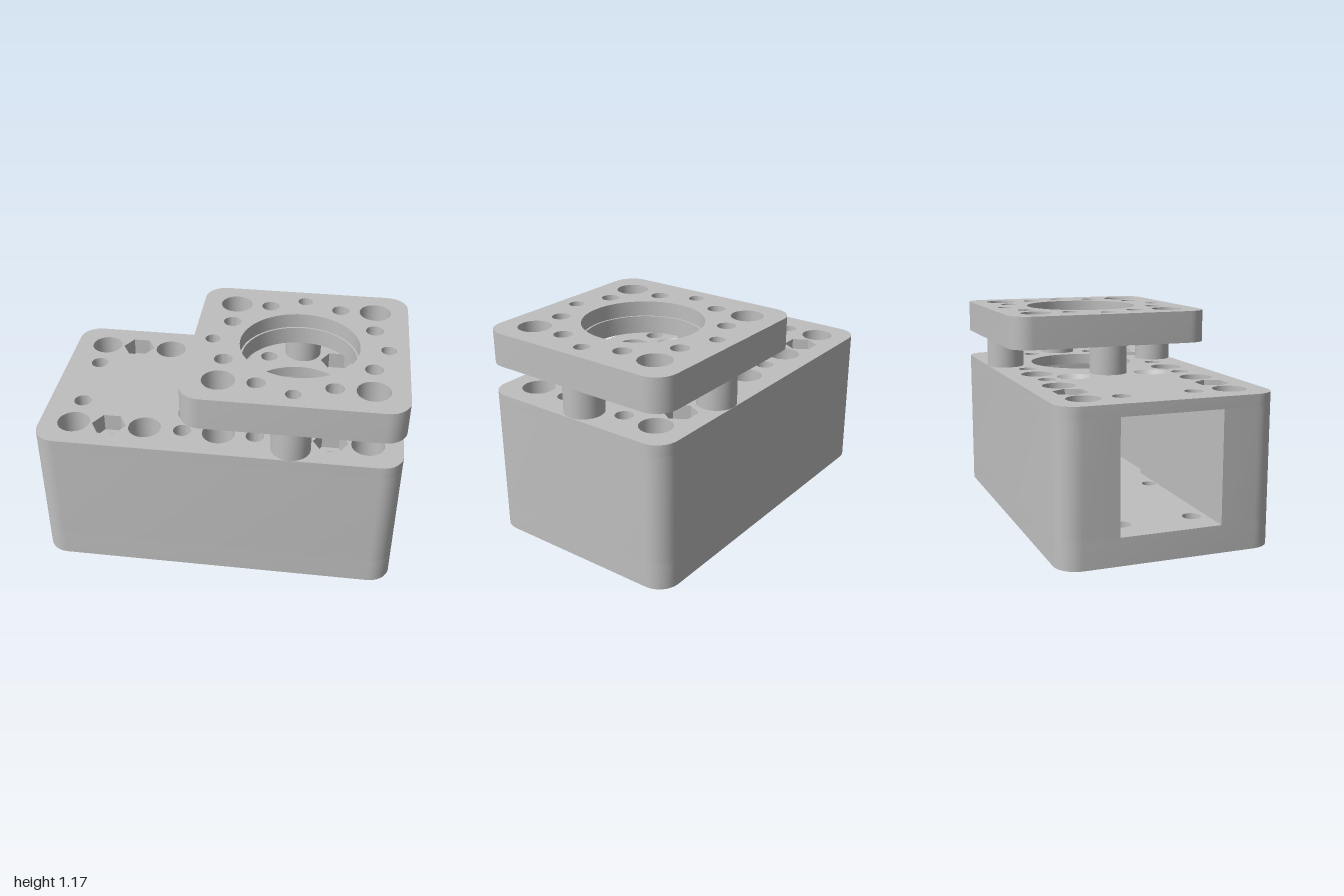
import * as THREE from 'three';
import { mergeGeometries, toCreasedNormals } from 'three/addons/utils/BufferGeometryUtils.js';

// 2D helpers: counter-clockwise loops of [x, z] points
const circle = (x, z, r, n = 32) => Array.from({ length: n }, (_, i) => {
  const a = (i / n) * Math.PI * 2;
  return [x + r * Math.cos(a), z + r * Math.sin(a)];
});
const hex = (x, z, r) => circle(x, z, r, 6);

function roundedRect(x0, x1, h, r, n = 8) {
  const corners = [[x0 + r, -h + r], [x1 - r, -h + r], [x1 - r, h - r], [x0 + r, h - r]];
  return corners.flatMap(([cx, cz], k) => Array.from({ length: n + 1 }, (_, i) => {
    const a = Math.PI * (1 + k / 2 + i / n / 2);
    return [cx + r * Math.cos(a), cz + r * Math.sin(a)];
  }));
}

// Side surface between two loops, facing outward, or inward for holes
function wall(bottom, y0, y1, inward = false, top = bottom) {
  const pos = [];
  const n = bottom.length;
  for (let i = 0; i < n; i++) {
    const j = (i + 1) % n;
    const a = [bottom[i][0], y0, -bottom[i][1]], b = [bottom[j][0], y0, -bottom[j][1]];
    const c = [top[j][0], y1, -top[j][1]], d = [top[i][0], y1, -top[i][1]];
    pos.push(...(inward ? [a, c, b, a, d, c] : [a, b, c, a, c, d]).flat());
  }
  const g = new THREE.BufferGeometry();
  g.setAttribute('position', new THREE.Float32BufferAttribute(pos, 3));
  return toCreasedNormals(g, 0.6);
}

// Flat face with holes, facing up or down
function sheet(outline, holes, y, up = true) {
  const v = (p) => p.map(([x, z]) => new THREE.Vector2(x, z));
  const s = new THREE.Shape(v(outline));
  s.holes = holes.map((h) => new THREE.Path(v(h)));
  const g = new THREE.ShapeGeometry(s).toNonIndexed();
  g.deleteAttribute('uv');
  g.rotateX(up ? -Math.PI / 2 : Math.PI / 2);
  g.translate(0, y, 0);
  return g;
}

// Points mirrored to both sides in z
const mirror = (xs, z) => xs.flatMap((x) => [[x, z], [x, -z]]);

const ROW = 0.405, BIG = 0.09, SMALL = 0.05, SCREW = 0.042, HEX = 0.095, BORE_X = 0.4;

function housing() {
  const H = 0.825, floor = 0.15, roof = 0.76;
  const outer = roundedRect(-1, 1, 0.593, 0.12);
  const cavity = [[-1, -0.28], [0.085, -0.28], [0.085, -0.315], [0.715, -0.315],
    [0.715, 0.315], [0.085, 0.315], [0.085, 0.28], [-1, 0.28]];
  const parts = [
    wall(outer, 0, floor),
    wall([...outer, ...cavity.slice().reverse()], floor, roof),
    wall(outer, roof, H),
  ];
  const bottomHoles = [], topHoles = [], floorHoles = [], roofHoles = [];

  // Straight holes through the full height
  const through = [
    ...mirror([-0.81, -0.41, 0, 0.81], ROW).map(([x, z]) => circle(x, z, BIG)),
    ...mirror([-0.2, 0.2], ROW).map(([x, z]) => circle(x, z, SMALL)),
    ...mirror([0.81], 0.2).map(([x, z]) => circle(x, z, SMALL)),
  ];
  for (const c of through) {
    parts.push(wall(c, 0, H, true));
    bottomHoles.push(c);
    topHoles.push(c);
  }

  // Bolt holes: nut pocket on top, round counterbore below
  for (const [x, z] of mirror([-0.61, 0.61], ROW)) {
    const c = circle(x, z, SMALL), nut = hex(x, z, HEX), head = circle(x, z, BIG);
    parts.push(wall(head, 0, 0.1, true), sheet(head, [c], 0.1, false), wall(c, 0.1, H - 0.1, true),
      sheet(nut, [c], H - 0.1), wall(nut, H - 0.1, H, true));
    bottomHoles.push(head);
    topHoles.push(nut);
  }

  // Small holes through roof and floor of the cavity
  for (const [x, z] of mirror([-0.81], 0.2)) {
    const c = circle(x, z, SMALL);
    parts.push(wall(c, 0, floor, true), wall(c, roof, H, true));
    [bottomHoles, floorHoles, roofHoles, topHoles].forEach((l) => l.push(c));
  }

  // Countersunk screw holes with nut pockets underneath
  for (const [x, z] of mirror([-0.155], 0.235)) {
    const c = circle(x, z, SCREW), sink = circle(x, z, 0.095), nut = hex(x, z, HEX);
    parts.push(wall(nut, 0, 0.1, true), sheet(nut, [c], 0.1, false), wall(c, 0.1, floor, true),
      wall(c, roof, 0.775, true), wall(c, 0.775, H, true, sink));
    bottomHoles.push(nut);
    floorHoles.push(c);
    roofHoles.push(c);
    topHoles.push(sink);
  }

  // Central bores and the blind recess in the floor
  const low = circle(BORE_X, 0, 0.14, 48), high = circle(BORE_X, 0, 0.31, 64), blind = circle(0.1, 0, 0.06);
  parts.push(wall(low, 0, floor, true), wall(high, roof, H, true),
    wall(blind, 0.05, floor, true), sheet(blind, [], 0.05));
  bottomHoles.push(low);
  floorHoles.push(low, blind);
  roofHoles.push(high);
  topHoles.push(high);

  parts.push(sheet(outer, bottomHoles, 0, false), sheet(cavity, floorHoles, floor),
    sheet(cavity, roofHoles, roof, false), sheet(outer, topHoles, H));
  return mergeGeometries(parts);
}

const POSTS = [[-0.085, 0], [0.888, 0], [0.4, 0.485], [0.4, -0.485]];

function upperPlate() {
  const y0 = 0.99, y1 = 1.175, step = 1.09;
  const outer = roundedRect(-0.195, 1, 0.593, 0.12);
  const holes = [
    ...mirror([0, 0.81], ROW).map(([x, z]) => circle(x, z, BIG)),
    ...mirror([0.2, 0.61], ROW).map(([x, z]) => circle(x, z, SMALL)),
    ...mirror([0, 0.81], 0.2).map(([x, z]) => circle(x, z, SMALL)),
    ...POSTS.map(([x, z]) => circle(x, z, SCREW)),
  ];
  // Stepped bore
  const wide = circle(BORE_X, 0, 0.333, 64), narrow = circle(BORE_X, 0, 0.322, 64);
  return mergeGeometries([
    wall(outer, y0, y1),
    ...holes.map((h) => wall(h, y0, y1, true)),
    wall(narrow, y0, step, true), sheet(wide, [narrow], step), wall(wide, step, y1, true),
    sheet(outer, [...holes, narrow], y0, false), sheet(outer, [...holes, wide], y1),
  ]);
}

export function createModel() {
  const model = new THREE.Group();
  model.name = 'mountingBlock';
  const grey = new THREE.MeshStandardMaterial({ color: 0xbfbfbf });
  grey.name = 'grey';
  const add = (name, geometry) => {
    const mesh = new THREE.Mesh(geometry, grey);
    mesh.name = name;
    model.add(mesh);
  };

  add('housing', housing());
  add('upperPlate', upperPlate());
  // Hollow posts between housing and plate
  POSTS.forEach(([x, z], i) => add(`post${i + 1}`, mergeGeometries([
    wall(circle(x, z, 0.108), 0.825, 0.99),
    wall(circle(x, z, SCREW), 0.825, 0.99, true),
  ])));
  return model;
}
